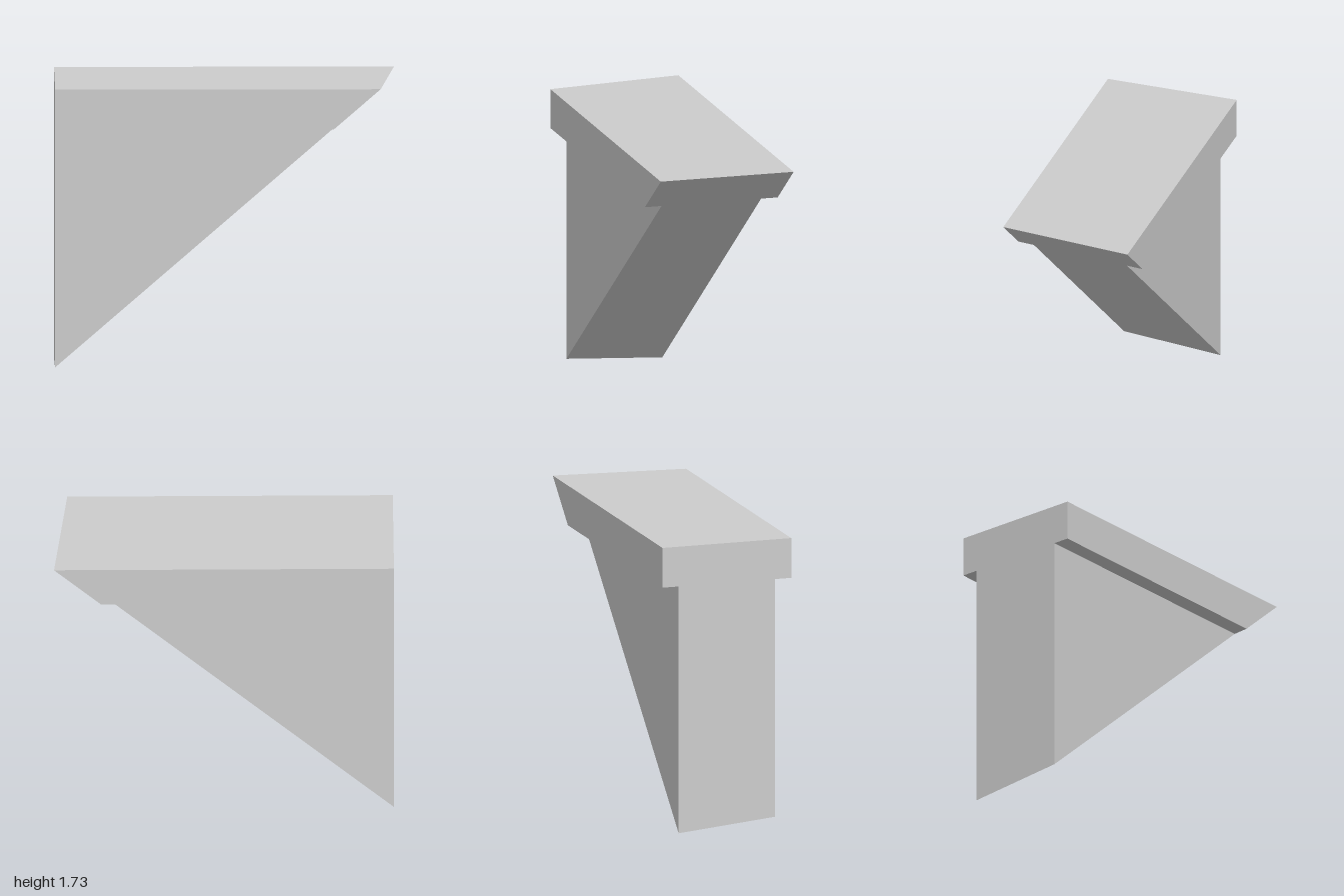
import * as THREE from 'three';

const TOP = 1.73, LEDGE = 1.49;

// x position of the slanted cutting plane at a given y and z
const cutX = (y, z) => -1 + 1.15 * y - 0.106 * (z + 0.3);
// height where the cutting plane meets the flat wall x = -1
const footY = (z) => 0.106 * (z + 0.3) / 1.15;

export function createModel() {
  const group = new THREE.Group();
  const stone = new THREE.MeshStandardMaterial({ color: 0xcccccc });
  stone.name = 'light grey';

  // T-shaped section: shape x becomes -z once the extrusion is turned along x
  const section = new THREE.Shape([
    [-0.4, TOP], [-0.4, LEDGE], [-0.3, LEDGE], [-0.3, footY(0.3)],
    [0.3, footY(-0.3)], [0.3, LEDGE], [0.4, LEDGE], [0.4, TOP],
  ].map(([x, y]) => new THREE.Vector2(x, y)));

  const geometry = new THREE.ExtrudeGeometry(section, { depth: 2, bevelEnabled: false });
  geometry.rotateY(Math.PI / 2).translate(-1, 0, 0);

  // Slide the far end back onto the slanted plane
  const p = geometry.attributes.position;
  for (let i = 0; i < p.count; i++) {
    if (p.getX(i) > 0) p.setX(i, cutX(p.getY(i), p.getZ(i)));
  }
  geometry.computeVertexNormals();

  const bracket = new THREE.Mesh(geometry, stone);
  bracket.name = 'slantedBracket';
  group.add(bracket);
  return group;
}
